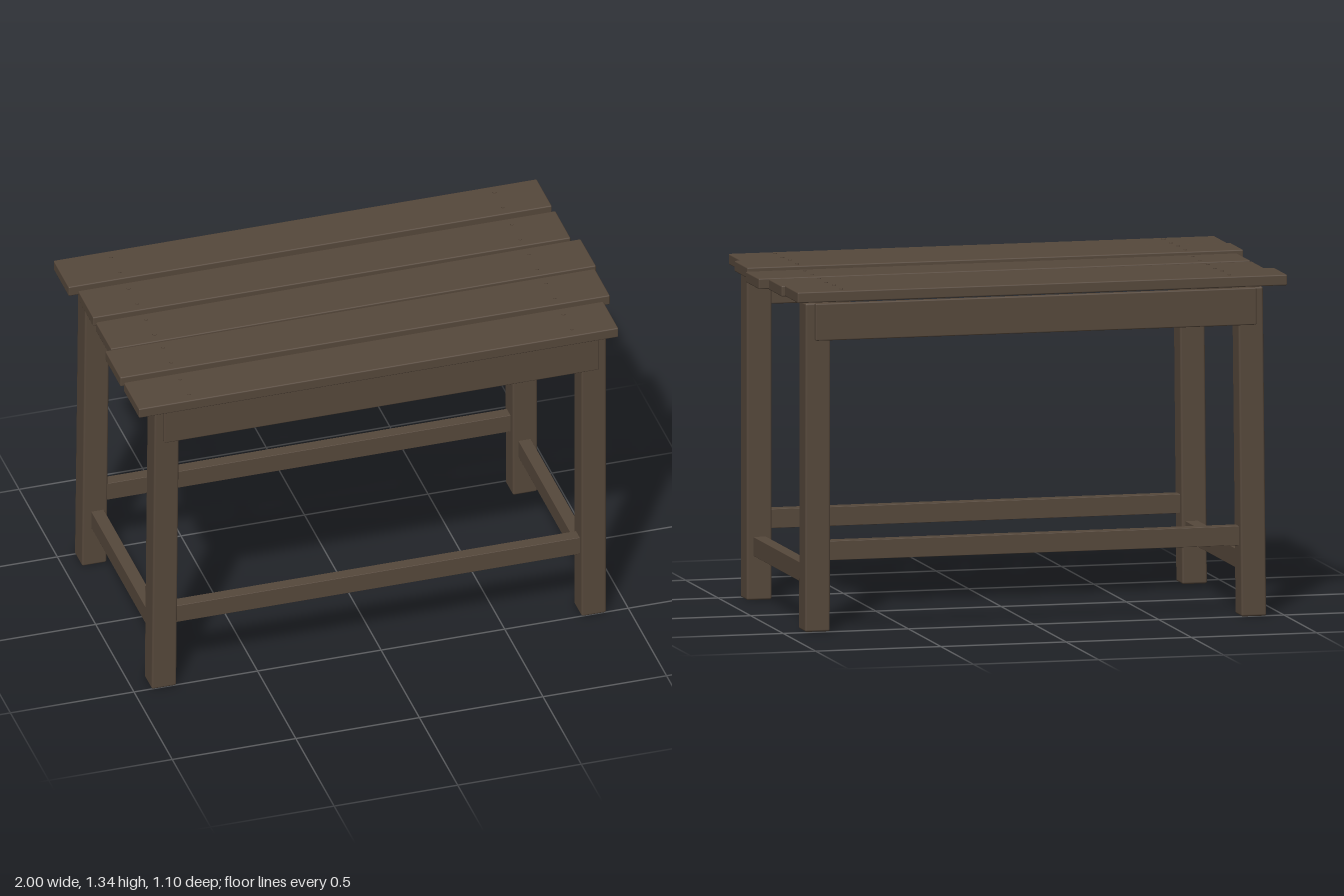
import * as THREE from 'three';
import { RoundedBoxGeometry } from 'three/addons/geometries/RoundedBoxGeometry.js';

const wood = new THREE.MeshStandardMaterial({ color: 0x56483b });
wood.name = 'dark brown wood';

// Softened board spanning the given [min, max] ranges
function board(name, [x0, x1], [y0, y1], [z0, z1], radius = 0.005) {
  const geometry = new RoundedBoxGeometry(x1 - x0, y1 - y0, z1 - z0, 2, radius);
  const mesh = new THREE.Mesh(geometry, wood);
  mesh.position.set((x0 + x1) / 2, (y0 + y1) / 2, (z0 + z1) / 2);
  mesh.name = name;
  return mesh;
}

// Square leg whose foot is offset from its top, giving a slight lean
function leg(name, x, z, footX, footZ) {
  const height = 1.285;
  const mesh = board(name, [x - 0.05, x + 0.05], [0, height], [z - 0.05, z + 0.05], 0.008);
  const p = mesh.geometry.attributes.position;
  for (let i = 0; i < p.count; i++) {
    const t = 0.5 - p.getY(i) / height;
    p.setX(i, p.getX(i) + footX * t);
    p.setZ(i, p.getZ(i) + footZ * t);
  }
  return mesh;
}

export function createModel() {
  const table = new THREE.Group();
  table.name = 'slattedTable';

  // Top planks, unevenly laid: x start, x end, z centre, top height, yaw
  const planks = [
    [-1.0, 0.955, -0.451, 1.336, -0.001],
    [-0.97, 0.96, -0.225, 1.33, -0.003],
    [-0.97, 0.995, 0, 1.33, 0.004],
    [-1.0, 0.98, 0.226, 1.34, -0.002],
    [-0.995, 0.945, 0.451, 1.335, 0],
  ];
  planks.forEach(([x0, x1, z, top, yaw], i) => {
    const group = new THREE.Group();
    group.name = 'topPlank' + (i + 1);
    group.position.z = z;
    group.rotation.y = yaw;
    group.add(board('plank', [x0, x1], [top - 0.042, top], [-0.1, 0.1]));
    // Pairs of nail heads above each cross rail
    for (const x of [-0.78, 0.77]) for (const dz of [-0.055, 0.055]) {
      const nail = new THREE.Mesh(new THREE.CylinderGeometry(0.007, 0.007, 0.006, 10), wood);
      nail.position.set(x, top, dz);
      nail.name = 'nailHead';
      group.add(nail);
    }
    table.add(group);
  });

  // Legs
  table.add(
    leg('frontLeftLeg', 0.86, 0.455, 0, 0),
    leg('backLeftLeg', 0.86, -0.45, 0, 0.008),
    leg('frontRightLeg', -0.867, 0.455, -0.012, 0),
    leg('backRightLeg', -0.867, -0.45, -0.012, -0.006),
  );

  // Long aprons on the outer faces of the legs
  table.add(
    board('frontApron', [-0.885, 0.875], [1.14, 1.285], [0.503, 0.525]),
    board('backApron', [-0.885, 0.875], [1.14, 1.285], [-0.522, -0.498]),
  );

  // Cross rails under the planks, just inside the legs
  table.add(
    board('leftCrossRail', [0.73, 0.81], [1.235, 1.29], [-0.5, 0.505], 0.003),
    board('rightCrossRail', [-0.82, -0.742], [1.235, 1.29], [-0.5, 0.505], 0.003),
  );

  // Low stretchers: long pair, then the lower end pair
  for (const [side, z] of [['front', 0.455], ['back', -0.45]])
    table.add(board(side + 'Stretcher', [-0.83, 0.815], [0.275, 0.35], [z - 0.025, z + 0.025], 0.002));
  for (const [side, x] of [['left', 0.858], ['right', -0.867]])
    table.add(board(side + 'Stretcher', [x - 0.025, x + 0.025], [0.172, 0.247], [-0.41, 0.41], 0.002));

  return table;
}
